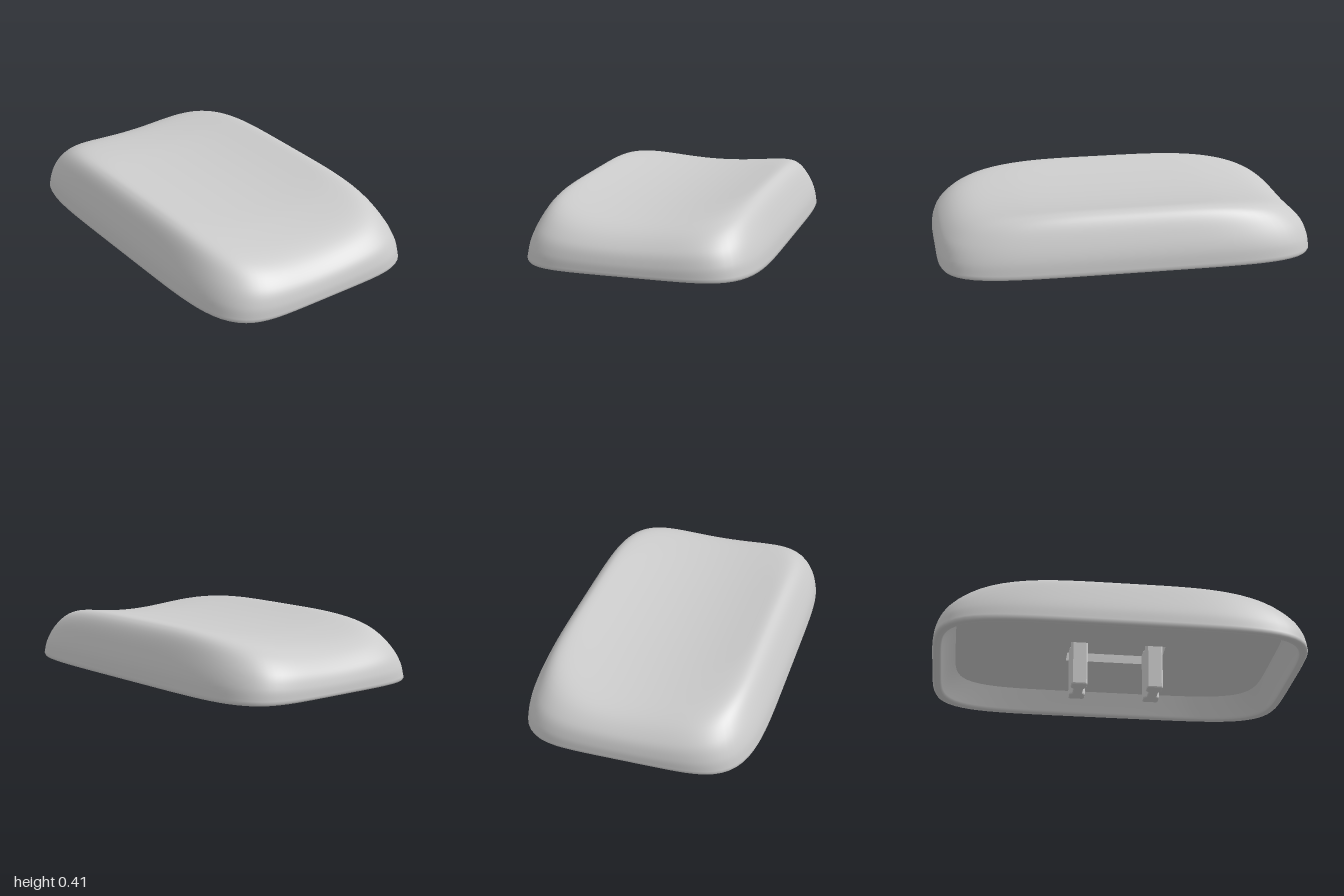
import * as THREE from 'three';

const BASE = 0.11, CEILING = 0.24, RECESS = 0.29, SEG = 144;

// Point on a rounded-rectangle (superellipse) outline
function outline(X, Z, n, t) {
  const c = Math.cos(t), s = Math.sin(t);
  const r = 1 / Math.pow(Math.abs(c) ** n + Math.abs(s) ** n, 1 / n);
  return [X * c * r, Z * s * r];
}

// Height of the concave top, dished across x
const scoop = (x) => 0.36 + 0.26 * x * x;

// Skin a list of rings; each ring is { X, Z, n, y(x) }
function loft(rings) {
  const pos = [], idx = [];
  rings.forEach((ring, i) => {
    for (let j = 0; j < SEG; j++) {
      const [x, z] = outline(ring.X, ring.Z, ring.n, (j / SEG) * Math.PI * 2);
      pos.push(x, ring.y(x), z);
      if (i === rings.length - 1) continue;
      const a = i * SEG + j, b = i * SEG + ((j + 1) % SEG);
      idx.push(a, a + SEG, b, b, a + SEG, b + SEG);
    }
  });
  const g = new THREE.BufferGeometry();
  g.setAttribute('position', new THREE.Float32BufferAttribute(pos, 3));
  g.setIndex(idx);
  g.computeVertexNormals();
  return g;
}

function capShell() {
  // Inner wall and rounded rim: half width, half length, height
  const rings = [
    [0.545, 0.88, CEILING], [0.565, 0.92, 0.18], [0.583, 0.951, 0.125],
    [0.586, 0.956, 0.115], [0.592, 0.962, BASE], [0.617, 0.987, BASE], [0.625, 0.995, 0.113],
  ].map(([X, Z, y]) => ({ X, Z, n: 5.5, y: () => y }));
  // Outer skin: half width, half length, fraction of the full height
  const skin = new THREE.CatmullRomCurve3([
    [0.63, 1, 0.04], [0.62, 0.993, 0.26], [0.59, 0.96, 0.53], [0.55, 0.87, 0.8],
    [0.52, 0.77, 0.915], [0.475, 0.57, 0.985], [0.39, 0.4, 1], [0.2, 0.2, 1], [0, 0, 1],
  ].map((p) => new THREE.Vector3(...p)));
  for (const p of skin.getPoints(48)) {
    const w = Math.min(p.z, 1);
    rings.push({ X: p.x, Z: p.y, n: 5.5 - 1.2 * w, y: (x) => BASE + w * (scoop(x) - BASE) });
  }
  return loft(rings);
}

// Flat underside with a rectangular opening for the recess
function ceilingPlate() {
  const pts = [];
  for (let j = 0; j < SEG; j++) {
    pts.push(new THREE.Vector2(...outline(0.545, 0.88, 5.5, (j / SEG) * Math.PI * 2)));
  }
  const shape = new THREE.Shape(pts);
  shape.holes.push(new THREE.Path([
    [-0.12, -0.265], [-0.12, 0.265], [0.12, 0.265], [0.12, -0.265],
  ].map((p) => new THREE.Vector2(...p))));
  return new THREE.ShapeGeometry(shape).rotateX(Math.PI / 2).translate(0, CEILING, 0);
}

// Mounting prong: a bar waisted by a shallow groove on both faces
function prongGeometry() {
  const half = [[0.105, 0.036], [0.097, 0.044], [0.045, 0.044], [0.03, 0.028]];
  const quarter = (sx, sy) => half.map(([x, y]) => new THREE.Vector2(x * sx, y * sy));
  const shape = new THREE.Shape([
    ...quarter(1, 1), ...quarter(-1, 1).reverse(),
    ...quarter(-1, -1), ...quarter(1, -1).reverse(),
  ]);
  const b = 0.008;
  return new THREE.ExtrudeGeometry(shape, {
    depth: RECESS - 2 * b, bevelThickness: b, bevelSize: b, bevelOffset: -b, bevelSegments: 2,
  }).rotateX(Math.PI / 2).translate(0, RECESS - b, 0);
}

export function createModel() {
  const group = new THREE.Group();
  const mat = new THREE.MeshStandardMaterial({ color: 0xcccccc });
  const add = (name, geo, material = mat) => {
    const mesh = new THREE.Mesh(geo, material);
    mesh.name = name;
    group.add(mesh);
    return mesh;
  };

  add('capShell', capShell());
  add('ceiling', ceilingPlate());

  // Recess seen from inside the box
  const inside = new THREE.MeshStandardMaterial({ color: 0xcccccc, side: THREE.BackSide });
  const depth = RECESS - CEILING;
  add('recess', new THREE.BoxGeometry(0.24, depth, 0.53).translate(0, CEILING + depth / 2, 0), inside);

  // Pair of prongs
  const prong = prongGeometry();
  add('frontProng', prong).position.z = 0.206;
  add('backProng', prong).position.z = -0.206;
  return group;
}
